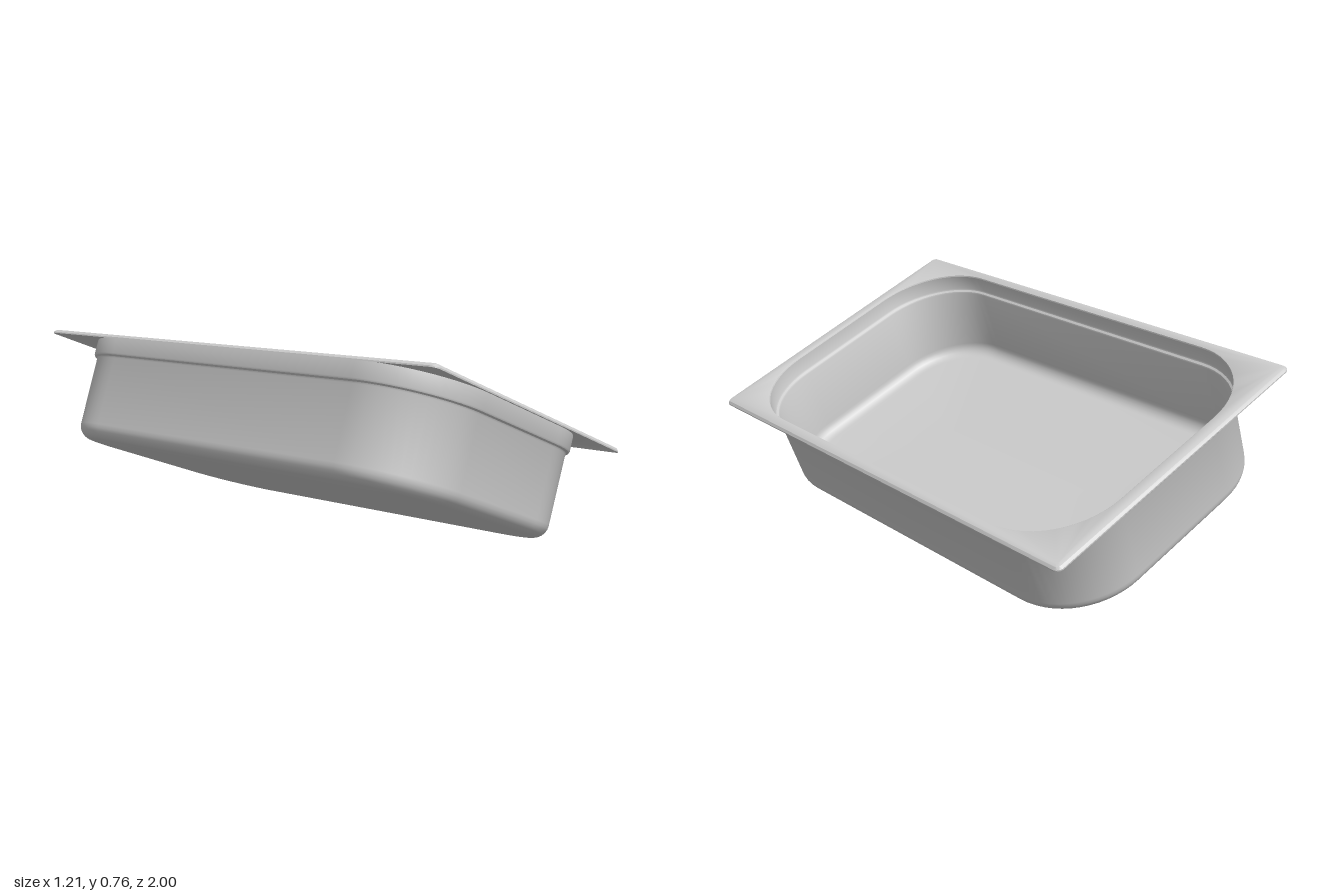
import * as THREE from 'three';
import { toCreasedNormals } from 'three/addons/utils/BufferGeometryUtils.js';

const TILT = THREE.MathUtils.degToRad(-20);
const HX = 0.569, HZ = 0.951, R = 0.325; // outer half sizes and corner radius of the upper band
const CORNER_STEPS = 14;

// Rounded rectangle loop, counter-clockwise seen from above
function loop({ hx, hz, r, y }) {
  const points = [];
  for (let q = 0; q < 4; q++) {
    const sx = q === 0 || q === 3 ? 1 : -1, sz = q < 2 ? -1 : 1;
    for (let i = 0; i <= CORNER_STEPS; i++) {
      const a = (q + i / CORNER_STEPS) * Math.PI / 2;
      points.push([sx * (hx - r) + r * Math.cos(a), y, sz * (hz - r) - r * Math.sin(a)]);
    }
  }
  return points;
}

// Band outline moved inward by d
const inset = (d, y) => ({ hx: HX - d, hz: HZ - d, r: R - d, y });
// Outline of the rim plate, moved inward by d
const rim = (d, y) => ({ hx: 0.61 - d, hz: 1 - d, r: 0.026 - d, y });

// Cross-section from floor centre to top of band, for a skin lying t inside the outer one
function skin(t) {
  const rows = [{ hx: 0, hz: HZ - HX, r: 0, y: t }];
  const radius = 0.055 - t, wall = 0.017 + t;
  for (let i = 0; i <= 6; i++) {
    const a = i / 6 * Math.PI / 2;
    rows.push(inset(wall + radius * (1 - Math.sin(a)), t + radius * (1 - Math.cos(a))));
  }
  rows.push(inset(0.014 + t, 0.325), inset(0.011 + t, 0.331), inset(0.003 + t, 0.336));
  rows.push(inset(t, 0.342), inset(t, 0.403));
  return rows;
}

function loft(rows) {
  const rings = rows.map(loop), n = rings[0].length, index = [];
  for (let i = 0; i < rings.length - 1; i++) {
    for (let j = 0; j < n; j++) {
      const a = i * n + j, b = i * n + (j + 1) % n;
      index.push(a, a + n, b + n, a, b + n, b);
    }
  }
  const geometry = new THREE.BufferGeometry();
  geometry.setAttribute('position', new THREE.Float32BufferAttribute(rings.flat(2), 3));
  geometry.setIndex(index);
  return toCreasedNormals(geometry, 0.5);
}

export function createModel() {
  const material = new THREE.MeshStandardMaterial({ color: 0xcccccc, side: THREE.DoubleSide });
  const model = new THREE.Group();
  const tray = new THREE.Group();
  tray.name = 'tiltedTray';
  tray.rotation.z = TILT;
  model.add(tray);

  const addPart = (name, rows) => {
    const mesh = new THREE.Mesh(loft(rows), material);
    mesh.name = name;
    tray.add(mesh);
  };

  const inner = skin(0.006), outer = skin(0);
  // Inside and outside of the pan
  addPart('panInside', inner);
  addPart('panOutside', outer.slice().reverse());
  // Flat rim with a turned-down lip
  addPart('rim', [
    inner[inner.length - 1], inset(0.004, 0.408), inset(0, 0.41),
    rim(0.02, 0.41), rim(0.008, 0.406), rim(0, 0.397),
    rim(0, 0.392), rim(0.022, 0.403), outer[outer.length - 1],
  ]);

  // Stand the tilted tray on the ground and centre it
  model.updateMatrixWorld(true);
  const box = new THREE.Box3().setFromObject(model, true);
  tray.position.set(-(box.min.x + box.max.x) / 2, -box.min.y, -(box.min.z + box.max.z) / 2);
  return model;
}
